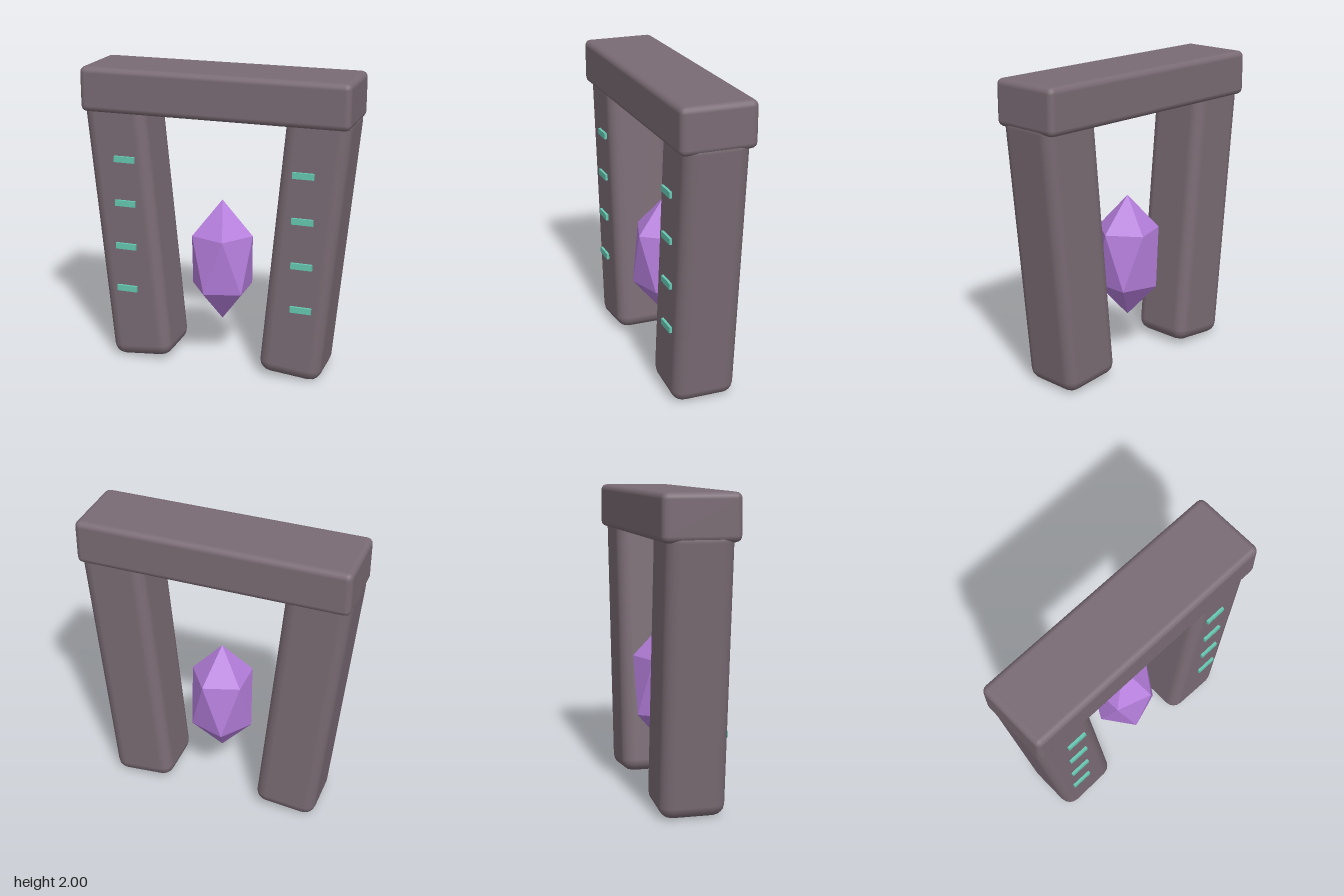
import * as THREE from 'three';
import { RoundedBoxGeometry } from 'three/addons/geometries/RoundedBoxGeometry.js';

export function createModel() {
  const model = new THREE.Group();
  model.name = 'crystalGate';

  const stone = new THREE.MeshStandardMaterial({ name: 'stone', color: 0x7a6b74 });
  const rune = new THREE.MeshStandardMaterial({ name: 'runeTeal', color: 0x66c8b2 });
  const violet = new THREE.MeshStandardMaterial({ name: 'crystalViolet', color: 0xb57edc });

  function add(name, geometry, material, x, y, z) {
    const mesh = new THREE.Mesh(geometry, material);
    mesh.name = name;
    mesh.position.set(x, y, z);
    model.add(mesh);
    return mesh;
  }

  // Lintel stone across the top
  add('lintel', new RoundedBoxGeometry(1.78, 0.295, 0.49, 2, 0.04), stone, 0, 1.8525, 0);

  // Leaning pillars, each with a column of upright rune bars on the front
  const pillar = new RoundedBoxGeometry(0.42, 1.8, 0.42, 2, 0.08);
  const bar = new THREE.BoxGeometry(0.14, 0.04, 0.03);
  for (const [side, s] of [['left', 1], ['right', -1]]) {
    add(side + 'Pillar', pillar, stone, s * 0.6, 0.908, 0).rotation.z = -s * 0.095;
    for (let i = 0; i < 4; i++) {
      add(side + 'Rune' + (i + 1), bar, rune, s * 0.6, 0.51 + i * 0.298, 0.212);
    }
  }

  // Floating crystal: an icosahedron stood on one vertex and stretched upward
  const gem = new THREE.IcosahedronGeometry(1, 0);
  gem.rotateZ(-Math.atan(2 / (1 + Math.sqrt(5))));
  gem.scale(0.235, 0.42, 0.235);
  gem.computeVertexNormals(); // unshared corners keep the facets flat
  add('crystal', gem, violet, 0, 0.71, 0);

  return model;
}
